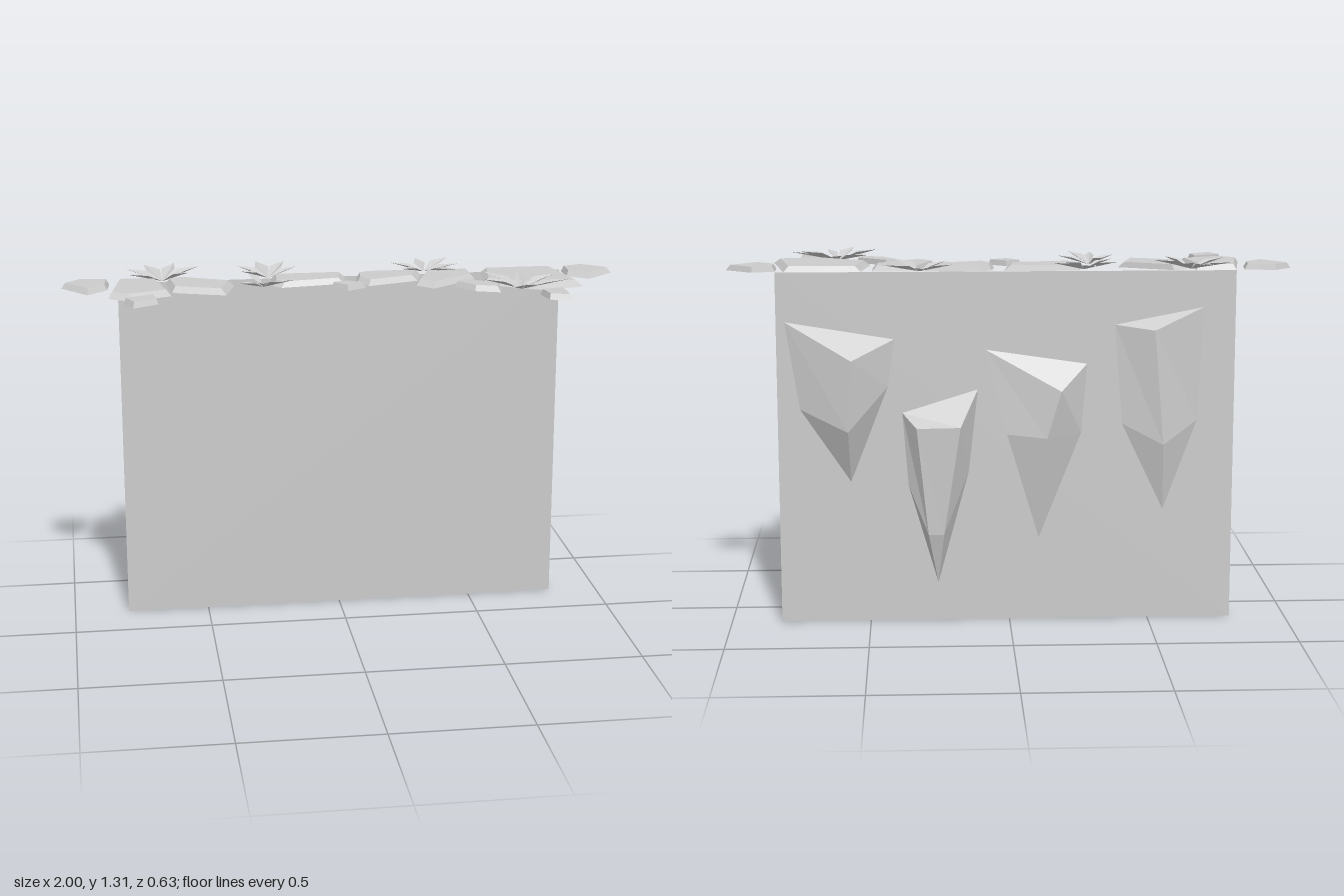
import * as THREE from 'three';

const WALL_Z = -0.18, TOP = 1.265;
const grey = new THREE.MeshStandardMaterial({ color: 0xcccccc, flatShading: true, side: THREE.DoubleSide });

function makeMesh(name, points, faces) {
  const geo = new THREE.BufferGeometry();
  geo.setAttribute('position', new THREE.Float32BufferAttribute(points.flat(), 3));
  geo.setIndex(faces.flat());
  const flat = geo.toNonIndexed();
  flat.computeVertexNormals();
  const mesh = new THREE.Mesh(flat, grey);
  mesh.name = name;
  return mesh;
}

// Bevelled stone: outline [x, z] at the base, shrunk towards its back at the top
function slab(outline) {
  const n = outline.length;
  const cx = outline.reduce((s, p) => s + p[0], 0) / n;
  const back = Math.min(...outline.map(p => p[1]));
  const cz = outline.reduce((s, p) => s + p[1], 0) / n * 0.4 + back * 0.6;
  const k = 0.85;
  const pts = [
    ...outline.map(([x, z]) => [x, TOP, z]),
    ...outline.map(([x, z]) => [cx + (x - cx) * k, TOP + 0.02, cz + (z - cz) * k]),
  ];
  const faces = [];
  for (let i = 0; i < n; i++) {
    const j = (i + 1) % n;
    faces.push([i, j, n + j], [i, n + j, n + i]);
  }
  for (let i = 1; i < n - 1; i++) faces.push([0, i + 1, i], [n, n + i, n + i + 1]);
  return makeMesh('ledgeStone', pts, faces);
}

// Hanging rock: an upper and a lower row of [x, y, depth] that meet in a tip
function spike(upper, lower, tip) {
  const n = upper.length;
  const pts = [...upper, ...lower, tip].map(([x, y, d]) => [x, y, WALL_Z - d]);
  const faces = [];
  for (let i = 0; i < n - 1; i++) {
    faces.push([i, i + 1, n + i + 1], [i, n + i + 1, n + i], [n + i, n + i + 1, 2 * n]);
    if (i > 0) faces.push([0, i + 1, i]);
  }
  return makeMesh('wallRock', pts, faces);
}

// Plant: creased leaves from a centre to each tip [x, z]
function plant([cx, cz], tips, lift) {
  const group = new THREE.Group();
  group.name = 'plant';
  tips.forEach(([tx, tz], i) => {
    const dx = tx - cx, dz = tz - cz, len = Math.hypot(dx, dz);
    const w = Math.min(0.026, len * 0.17);
    const sx = -dz / len * w, sz = dx / len * w;
    const mx = cx + dx * 0.48, mz = cz + dz * 0.48;
    const rise = lift + (i % 3) * 0.004;
    group.add(makeMesh('leaf', [
      [cx, TOP + 0.005, cz],
      [mx + sx, TOP + rise * 0.85, mz + sz],
      [tx, TOP + rise, tz],
      [mx - sx, TOP + rise * 0.85, mz - sz],
      [mx, TOP + rise * 0.55, mz],
    ], [[0, 1, 4], [1, 2, 4], [0, 4, 3], [4, 2, 3]]));
  });
  return group;
}

export function createModel() {
  const model = new THREE.Group();
  model.name = 'rockLedge';

  // Upright sheet behind the ledge
  const wall = new THREE.Mesh(new THREE.PlaneGeometry(1.62, TOP), grey);
  wall.name = 'wall';
  wall.position.set(0.01, TOP / 2, WALL_Z);
  model.add(wall);

  // Flat stones along the top edge
  const stones = new THREE.Group();
  stones.name = 'ledgeStones';
  const outlines = [
    [[-1, -0.12], [-0.94, -0.18], [-0.83, -0.165], [-0.84, -0.07], [-0.91, -0.005]],
    [[-0.8, -0.17], [-0.66, -0.17], [-0.62, 0.05], [-0.77, 0.11], [-0.84, 0.06]],
    [[-0.63, -0.15], [-0.58, -0.17], [-0.39, -0.08], [-0.43, 0.065], [-0.615, 0]],
    [[-0.25, -0.17], [0.02, -0.17], [0.005, -0.06], [-0.225, -0.025], [-0.255, -0.06]],
    [[0.06, -0.15], [0.1, -0.17], [0.3, -0.17], [0.27, -0.07], [0.085, -0.01], [0.05, -0.07]],
    [[0.32, -0.17], [0.48, -0.16], [0.48, -0.07], [0.31, 0.06], [0.255, 0.005]],
    [[0.52, -0.17], [0.79, -0.17], [0.84, 0.1], [0.685, 0.135], [0.49, 0.02]],
    [[0.82, -0.155], [0.9, -0.18], [0.995, -0.105], [0.89, -0.015], [0.82, -0.07]],
    [[-0.79, 0.14], [-0.68, 0.09], [-0.67, 0.165], [-0.76, 0.215]],
    [[-0.05, -0.005], [0.005, -0.03], [0.07, 0.015], [0, 0.055]],
    [[0.385, 0.04], [0.43, 0.005], [0.545, 0.095], [0.53, 0.15], [0.445, 0.12]],
    [[0.66, 0.2], [0.75, 0.18], [0.75, 0.31], [0.675, 0.28]],
  ];
  // Outlines run clockwise from above; reversed so that the faces point outwards
  outlines.forEach(o => stones.add(slab([...o].reverse())));
  model.add(stones);

  // Rocks hanging on the back of the wall
  const rocks = new THREE.Group();
  rocks.name = 'wallRocks';
  rocks.add(
    spike([[0.79, 1.09, 0], [0.556, 0.965, 0.095], [0.407, 1.027, 0]],
      [[0.74, 0.78, 0.01], [0.57, 0.71, 0.085], [0.43, 0.86, 0.01]], [0.564, 0.515, 0]),
    spike([[0.38, 0.763, 0], [0.33, 0.72, 0.075], [0.175, 0.723, 0.08], [0.112, 0.846, 0]],
      [[0.36, 0.5, 0], [0.29, 0.33, 0.055], [0.235, 0.33, 0.055], [0.145, 0.55, 0]], [0.256, 0.14, 0]),
    spike([[0.085, 0.988, 0], [-0.18, 0.85, 0.082], [-0.275, 0.935, 0]],
      [[0.01, 0.69, 0.04], [-0.13, 0.68, 0.075], [-0.255, 0.69, 0.01]], [-0.105, 0.303, 0]),
    spike([[-0.373, 1.074, 0], [-0.51, 1.06, 0.055], [-0.688, 1.135, 0]],
      [[-0.4, 0.72, 0.01], [-0.544, 0.65, 0.052], [-0.669, 0.73, 0]], [-0.55, 0.404, 0]),
  );
  model.add(rocks);

  // Small plants growing between the stones
  model.add(
    plant([-0.64, -0.17], [[-0.7, -0.315], [-0.59, -0.31], [-0.5, -0.23], [-0.77, -0.25], [-0.76, -0.13], [-0.55, -0.12]], 0.036),
    plant([-0.26, -0.17], [[-0.29, -0.325], [-0.37, -0.24], [-0.19, -0.28], [-0.15, -0.22], [-0.36, -0.14]], 0.034),
    plant([-0.29, -0.03], [[-0.385, 0.03], [-0.3, 0.07], [-0.22, 0.065], [-0.18, 0], [-0.34, -0.11]], 0.034),
    plant([0.315, -0.2], [[0.305, -0.325], [0.2, -0.24], [0.42, -0.29], [0.445, -0.21], [0.22, -0.13], [0.41, -0.08]], 0.028),
    plant([0.61, 0.125], [[0.63, -0.03], [0.5, -0.01], [0.74, 0.07], [0.78, 0.13], [0.555, 0.25], [0.47, 0.13], [0.65, 0.215]], 0.036),
  );
  return model;
}
